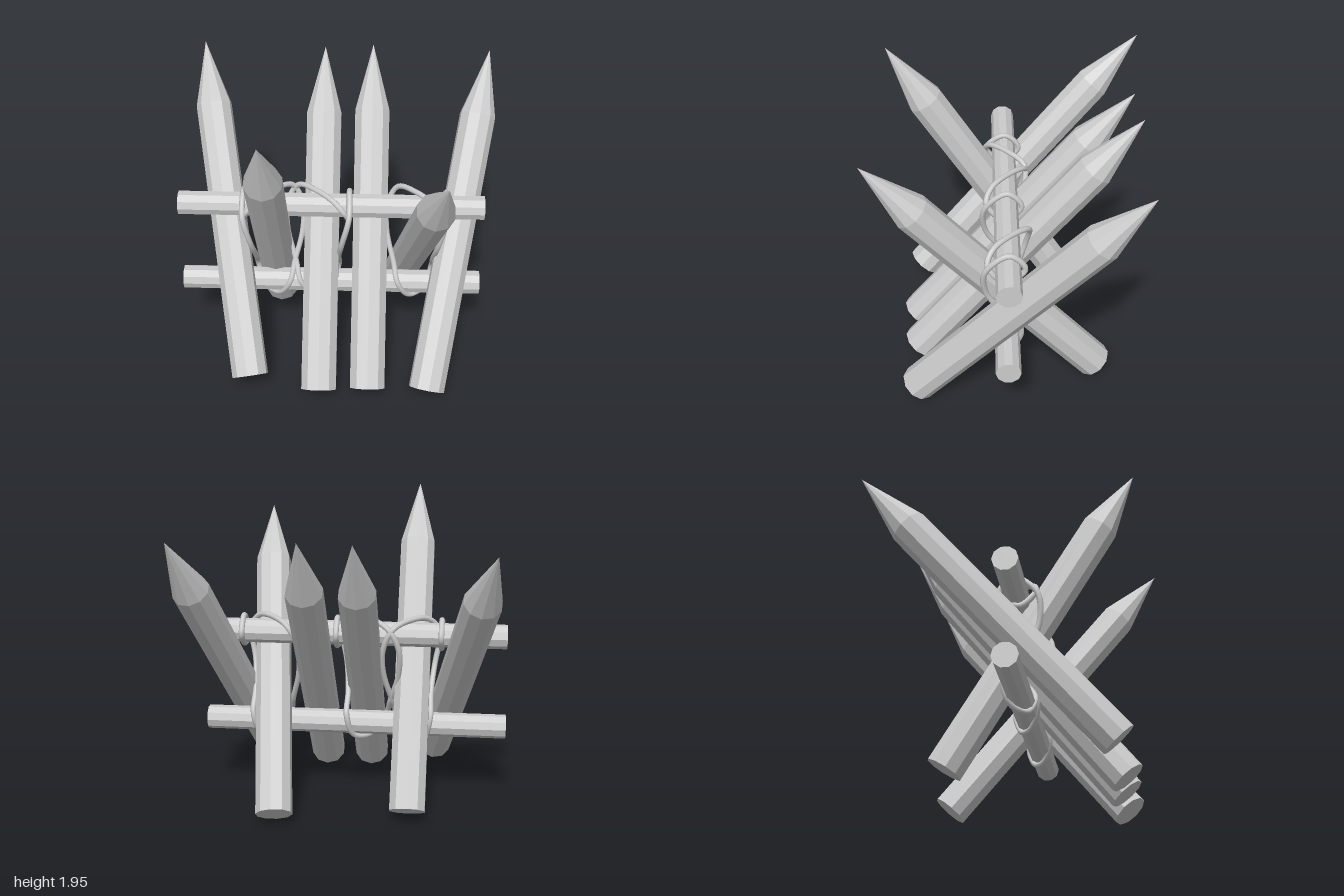
import * as THREE from 'three';

const wood = new THREE.MeshStandardMaterial({ color: 0xcccccc, flatShading: true });
const ropeMat = new THREE.MeshStandardMaterial({ color: 0xcccccc });

// Sharpened ten-sided log from the centre of its foot to its tip
function makeStake(name, foot, tip, radius = 0.115, point = 0.43) {
  const a = new THREE.Vector3(...foot);
  const dir = new THREE.Vector3(...tip).sub(a);
  const length = dir.length();
  const profile = [[0, 0], [radius, 0], [radius, length - point], [0, length]]
    .map(([x, y]) => new THREE.Vector2(x, y));
  const stake = new THREE.Mesh(new THREE.LatheGeometry(profile, 10), wood);
  stake.name = name;
  stake.position.copy(a);
  stake.quaternion.setFromUnitVectors(new THREE.Vector3(0, 1, 0), dir.normalize());
  return stake;
}

// Horizontal rail between two x positions
function makeRail(name, x0, x1, y, z) {
  const geo = new THREE.CylinderGeometry(0.077, 0.077, x1 - x0, 10).rotateZ(Math.PI / 2);
  const rail = new THREE.Mesh(geo, wood);
  rail.name = name;
  rail.position.set((x0 + x1) / 2, y, z);
  return rail;
}

// Lashing: wraps the upper rail, drops under the lower rail and crosses back
const LASHING = [
  [0.02, 1.1, 0.16], [0, 1.0, 0.06], [0, 1.09, -0.06], [0, 1.19, 0.03],
  [0, 1.08, 0.17], [0.04, 0.88, 0.17], [0.06, 0.7, 0.06], [0.06, 0.56, -0.04],
  [0.1, 0.42, 0.0], [0.2, 0.41, 0.08], [0.28, 0.53, 0.12], [0.31, 0.65, 0.05],
  [0.36, 0.85, -0.03], [0.36, 1.02, -0.08], [0.3, 1.15, -0.09],
  [0.18, 1.19, 0.03], [0.08, 1.17, 0.13],
];
function makeLashing(name, x, scale) {
  const points = LASHING.map(([u, y, z]) => new THREE.Vector3(x + u * scale, y, z));
  const path = new THREE.CatmullRomCurve3(points, true);
  const rope = new THREE.Mesh(new THREE.TubeGeometry(path, 120, 0.018, 8, true), ropeMat);
  rope.name = name;
  return rope;
}

export function createModel() {
  const model = new THREE.Group();
  model.name = 'stakeBarricade';

  // Stakes leaning to the back
  const back = [
    [[-0.53, 0.157, 0.61], [-0.89, 1.76, -0.85]],
    [[-0.095, 0.078, 0.635], [-0.095, 1.79, -0.74]],
    [[0.213, 0.078, 0.615], [0.213, 1.8, -0.76]],
    [[0.59, 0.078, 0.615], [0.96, 1.785, -0.735]],
  ];
  back.forEach(([foot, tip], i) => model.add(makeStake(`backLeaningStake${i + 1}`, foot, tip)));

  // Stakes leaning to the front
  const front = [
    [[-0.4, 0.075, -0.395], [-0.4, 1.955, 0.76]],
    [[0.41, 0.075, -0.525], [0.62, 1.78, 0.855]],
  ];
  front.forEach(([foot, tip], i) => model.add(makeStake(`frontLeaningStake${i + 1}`, foot, tip)));

  // Rails
  model.add(makeRail('upperRail', -0.99, 0.92, 1.09, 0.04));
  model.add(makeRail('lowerRail', -1.0, 0.93, 0.495, 0.045));

  // Rope lashings, two of them mirrored
  model.add(makeLashing('rightLashing', -0.58, 1));
  model.add(makeLashing('middleLashing', 0.08, -1.1));
  model.add(makeLashing('leftLashing', 0.68, -1));

  return model;
}
